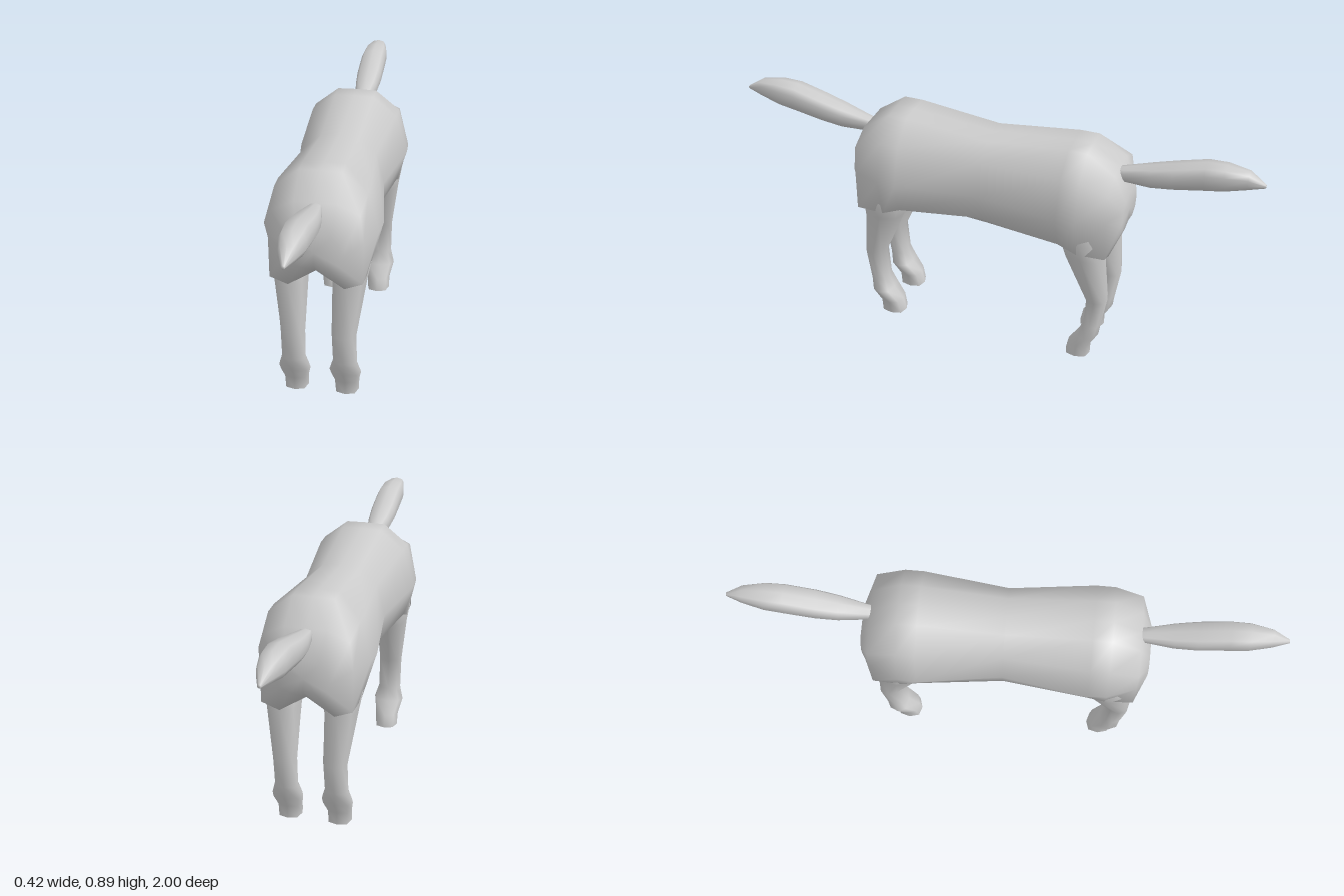
import * as THREE from 'three';

const material = new THREE.MeshStandardMaterial({ color: 0xcccccc });

// Skin a list of equal-length rings; a crisp end gets its own flat cap vertices.
function loft(name, rings, crispEnd = false) {
  const centre = (ring) => {
    const c = new THREE.Vector3();
    ring.forEach((p) => c.add(p));
    c.divideScalar(ring.length);
    return ring.map(() => c);
  };
  const last = rings[rings.length - 1];
  const skins = crispEnd
    ? [[centre(rings[0]), ...rings], [last, centre(last)]]
    : [[centre(rings[0]), ...rings, centre(last)]];
  const positions = [], index = [];
  for (const skin of skins) {
    const n = last.length, base = positions.length / 3;
    skin.forEach((ring) => ring.forEach((p) => positions.push(p.x, p.y, p.z)));
    for (let i = 0; i < skin.length - 1; i++) {
      for (let j = 0; j < n; j++) {
        const a = base + i * n + j, b = base + i * n + (j + 1) % n;
        index.push(a, b, a + n, b, b + n, a + n);
      }
    }
  }
  const geometry = new THREE.BufferGeometry();
  geometry.setAttribute('position', new THREE.Float32BufferAttribute(positions, 3));
  geometry.setIndex(index);
  geometry.computeVertexNormals();
  const mesh = new THREE.Mesh(geometry, material);
  mesh.name = name;
  return mesh;
}

// Close a half outline (top to bottom) into a symmetric ring at depth z.
function mirrorRing(z, half) {
  const right = half.map(([x, y]) => new THREE.Vector3(-x, y, z));
  const left = half.slice(1, -1).reverse().map(([x, y]) => new THREE.Vector3(x, y, z));
  return [...right, ...left];
}

// Body sections from the middle to one end
const bodySections = [
  [0, [[0, 0.845], [0.07, 0.838], [0.135, 0.78], [0.165, 0.66], [0.14, 0.55], [0.07, 0.485], [0, 0.475]]],
  [0.31, [[0, 0.874], [0.075, 0.872], [0.165, 0.8], [0.21, 0.655], [0.17, 0.53], [0.08, 0.517], [0, 0.52]]],
  [0.38, [[0, 0.874], [0.075, 0.872], [0.165, 0.8], [0.205, 0.655], [0.17, 0.5], [0.1, 0.49], [0, 0.53]]],
  [0.485, [[0, 0.8], [0.075, 0.8], [0.155, 0.76], [0.167, 0.66], [0.165, 0.5], [0.1, 0.475], [0, 0.54]]],
  [0.525, [[0, 0.7], [0.06, 0.69], [0.085, 0.665], [0.095, 0.62], [0.085, 0.585], [0.05, 0.57], [0, 0.58]]],
];

// Tail sections: z, half width, top, bottom
const tailSections = [
  [0.44, 0.02, 0.79, 0.75], [0.5, 0.026, 0.803, 0.745], [0.6, 0.042, 0.832, 0.745],
  [0.68, 0.048, 0.855, 0.757], [0.79, 0.048, 0.886, 0.777], [0.86, 0.045, 0.889, 0.789],
  [0.94, 0.029, 0.878, 0.81], [1, 0.006, 0.838, 0.826],
];

// Leg sections: y, inner x, outer x, inward z, outward z
const legSections = [
  [0.68, 0.06, 0.17, 0.3, 0.44], [0.54, 0.03, 0.18, 0.3, 0.48], [0.47, 0.043, 0.167, 0.322, 0.475],
  [0.27, 0.048, 0.138, 0.408, 0.488], [0.15, 0.05, 0.138, 0.4, 0.468], [0.1, 0.035, 0.152, 0.383, 0.461],
  [0.05, 0.048, 0.14, 0.345, 0.432], [0, 0.05, 0.138, 0.335, 0.43],
];

function tail() {
  return loft('tail', tailSections.map(([z, w, top, bottom]) => {
    const h = top - bottom;
    return mirrorRing(z, [[0, top], [w * 0.75, top - h * 0.08], [w, top - h * 0.3],
      [w, top - h * 0.65], [w * 0.7, bottom + h * 0.1], [0, bottom]]);
  }));
}

function leg(side) {
  const sides = 8;
  return loft(side > 0 ? 'outerLeftLeg' : 'outerRightLeg', legSections.map(([y, x0, x1, z0, z1]) =>
    Array.from({ length: sides }, (_, j) => {
      const a = (j / sides) * Math.PI * 2;
      const k = j % 2 ? 1.1 : 1; // fuller diagonals
      return new THREE.Vector3(
        side * (x0 + x1) / 2 + Math.cos(a) * k * (x1 - x0) / 2, y,
        (z0 + z1) / 2 + Math.sin(a) * k * (z1 - z0) / 2);
    })), true);
}

export function createModel() {
  const model = new THREE.Group();
  model.name = 'twoEndedAnimal';

  // Body, reflected about its middle
  const far = bodySections.slice(1).reverse().map(([z, half]) => mirrorRing(-z, half));
  const near = bodySections.map(([z, half]) => mirrorRing(z, half));
  model.add(loft('body', [...far, ...near]));

  // Matching tail and pair of legs at each end
  for (const end of ['front', 'back']) {
    const group = new THREE.Group();
    group.name = end + 'TailAndLegs';
    const parts = [tail(), leg(1), leg(-1)];
    const sides = end === 'front' ? ['Left', 'Right'] : ['Right', 'Left'];
    parts[0].name = end + 'Tail';
    parts[1].name = end + sides[0] + 'Leg';
    parts[2].name = end + sides[1] + 'Leg';
    group.add(...parts);
    if (end === 'back') group.rotation.y = Math.PI;
    model.add(group);
  }
  return model;
}
